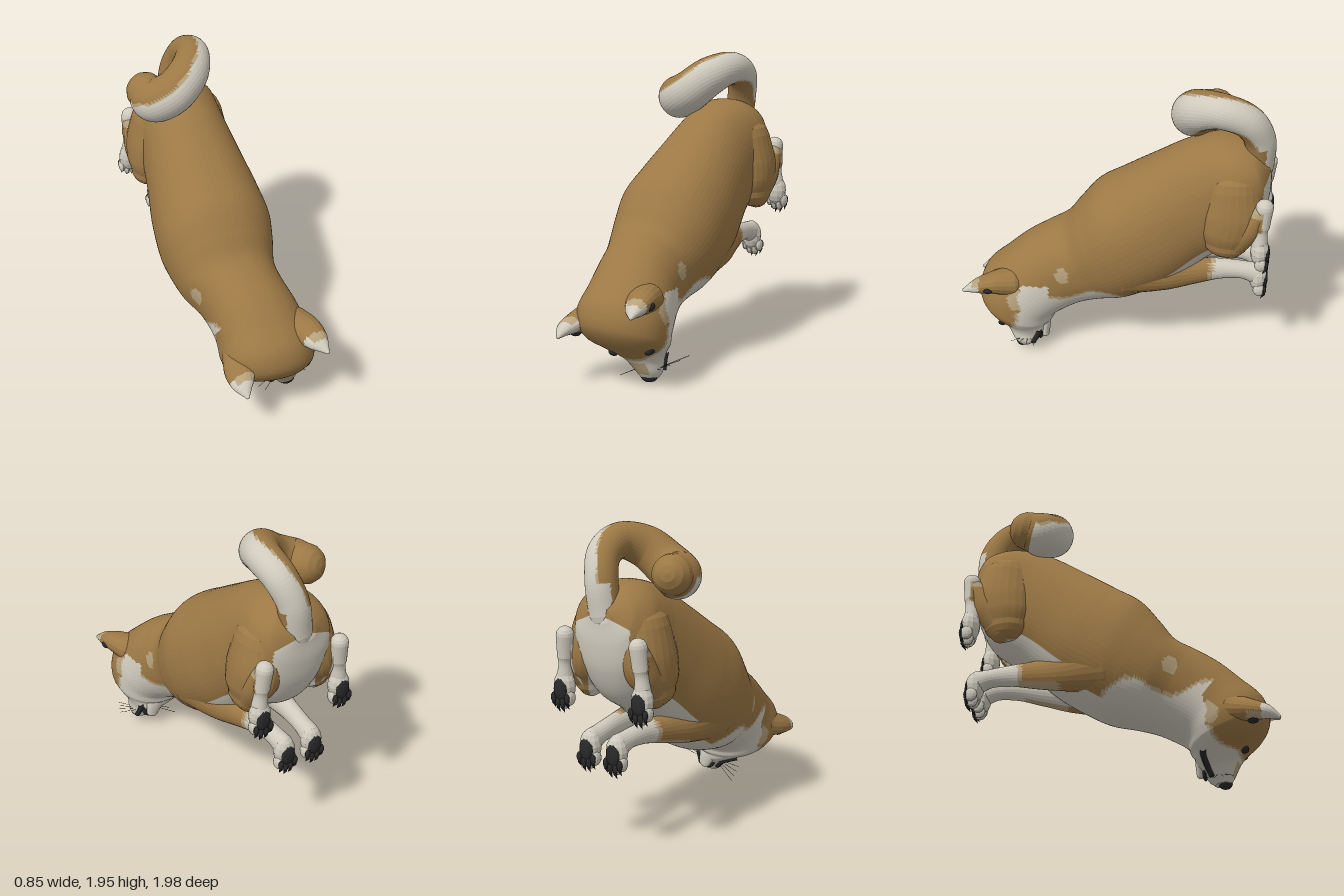
import * as THREE from 'three';

const V = (x, y, z) => new THREE.Vector3(x, y, z);
const mat = (name, color) => Object.assign(new THREE.MeshStandardMaterial({ color }), { name });
const clamp = THREE.MathUtils.clamp;
const soften = v => Math.sign(v) * Math.abs(v) ** 0.92; // slightly boxy section
const CX = -0.05; // middle of the trunk

export function createModel() {
  const dog = new THREE.Group();
  dog.name = 'dog';
  const tan = mat('tan fur', 0x9c7845), cream = mat('cream fur', 0xcfcabd);
  const pale = mat('pale tan fur', 0xb5a17d), black = mat('black', 0x29292a);
  const furs = [tan, cream, pale];

  // Skin a list of rings (arrays of points); pick(centroid, ring, side) gives the fur index.
  function skin(name, rings, pick) {
    const buckets = furs.map(() => []);
    const n = rings[0].length;
    let volume = 0;
    const tris = [];
    for (let i = 0; i < rings.length - 1; i++) for (let j = 0; j < n; j++) {
      const k = (j + 1) % n;
      const [a, b, c, d] = [rings[i][j], rings[i][k], rings[i + 1][k], rings[i + 1][j]];
      for (const t of [[a, b, c], [a, c, d]]) {
        volume += t[0].dot(t[1].clone().cross(t[2]));
        tris.push([t, pick(t[0].clone().add(t[1]).add(t[2]).divideScalar(3), i, j)]);
      }
    }
    for (const [t, f] of tris) {
      if (volume < 0) t.reverse();
      for (const p of t) buckets[f].push(p.x, p.y, p.z);
    }
    const g = new THREE.BufferGeometry();
    g.setAttribute('position', new THREE.Float32BufferAttribute(buckets.flat(), 3));
    let start = 0;
    buckets.forEach((b, f) => { g.addGroup(start, b.length / 3, f); start += b.length / 3; });
    g.computeVertexNormals();
    const m = new THREE.Mesh(g, furs);
    m.name = name;
    dog.add(m);
  }

  // Round-ended limb along points [x, y, z, radius, second radius]
  function limb(name, pts, pick, ref = V(1, 0, 0), steps = 30, sides = 24) {
    const path = new THREE.CatmullRomCurve3(pts.map(p => V(p[0], p[1], p[2])));
    const size = new THREE.CatmullRomCurve3(pts.map(p => V(p[3], p[4] ?? p[3], 0)));
    const stations = [];
    for (const a of [0, 0.4, 0.8, 1.2]) stations.push([0, Math.sin(a), -Math.cos(a)]);
    for (let i = 0; i <= steps; i++) stations.push([i / steps, 1, 0]);
    for (const a of [1.2, 0.8, 0.4, 0]) stations.push([1, Math.sin(a), Math.cos(a)]);
    const centres = [];
    const rings = stations.map(([u, s, off]) => {
      const t = path.getTangent(u), r = size.getPoint(u);
      const c = path.getPoint(u).addScaledVector(t, off * Math.min(r.x, r.y));
      centres.push(c);
      const side = ref.clone().addScaledVector(t, -ref.dot(t)).normalize();
      const other = t.clone().cross(side);
      return Array.from({ length: sides }, (_, j) => {
        const a = j / sides * Math.PI * 2;
        return c.clone().addScaledVector(side, Math.cos(a) * r.x * s).addScaledVector(other, Math.sin(a) * r.y * s);
      });
    });
    skin(name, rings, (p, i) => pick(p, p.clone().sub(centres[i]).normalize(), centres[i]));
  }

  function blob(name, material, pos, radii, parent = dog) {
    const g = new THREE.SphereGeometry(1, 12, 8).toNonIndexed();
    g.scale(...radii);
    g.computeVertexNormals();
    const m = new THREE.Mesh(g, material);
    m.name = name;
    m.position.set(...pos);
    parent.add(m);
    return m;
  }

  // Trunk, neck and head: back z, back y, belly z, belly y, half width, middle x
  const sections = [
    [-0.94, 1.52, -0.96, 1.42, 0.08, CX], [-0.84, 1.61, -0.96, 1.28, 0.21, CX],
    [-0.67, 1.64, -0.93, 1.12, 0.275, CX], [-0.45, 1.58, -0.83, 0.94, 0.285, CX],
    [-0.20, 1.43, -0.62, 0.80, 0.32, CX], [0.00, 1.30, -0.42, 0.62, 0.36, CX],
    [0.15, 1.20, -0.22, 0.49, 0.375, CX], [0.27, 1.05, -0.08, 0.42, 0.35, CX],
    [0.36, 0.93, 0.08, 0.38, 0.31, CX], [0.48, 0.87, 0.22, 0.345, 0.28, -0.02],
    [0.62, 0.79, 0.33, 0.30, 0.28, 0.01], [0.76, 0.67, 0.39, 0.27, 0.29, 0.03],
    [0.89, 0.54, 0.41, 0.25, 0.30, 0.035], [0.92, 0.41, 0.42, 0.22, 0.29, 0.045],
    [0.87, 0.31, 0.44, 0.20, 0.25, 0.06], [0.79, 0.24, 0.45, 0.17, 0.18, 0.10],
    [0.73, 0.18, 0.48, 0.13, 0.115, 0.15], [0.69, 0.11, 0.52, 0.08, 0.085, 0.18],
    [0.66, 0.06, 0.56, 0.05, 0.055, 0.19],
  ];
  const last = sections.length - 1;
  const back = new THREE.CatmullRomCurve3(sections.map(s => V(0, s[1], s[0])));
  const belly = new THREE.CatmullRomCurve3(sections.map(s => V(0, s[3], s[2])));
  const width = new THREE.CatmullRomCurve3(sections.map(s => V(s[4], s[5], 0)));
  const onBody = (k, a, scale = 1) => {
    const T = back.getPoint(k / last), B = belly.getPoint(k / last), w = width.getPoint(k / last);
    const c = T.clone().add(B).multiplyScalar(0.5).setX(w.y);
    return c.addScaledVector(T.sub(B), soften(Math.sin(a)) * 0.5 * scale)
      .add(V(soften(Math.cos(a)) * w.x * scale, 0, 0));
  };
  const N = 150, SIDES = 72, rings = [];
  for (let i = -1; i <= N + 1; i++)
    rings.push(Array.from({ length: SIDES }, (_, j) =>
      onBody(clamp(i / N, 0, 1) * last, j / SIDES * Math.PI * 2, i < 0 || i > N ? 0 : 1)));
  skin('body and head', rings, (p, i, j) => {
    const k = (i - 1) / N * last, up = Math.sin((j + 0.5) / SIDES * Math.PI * 2);
    if (Math.hypot(p.z - 0.33, (p.y - 0.67) * 0.8) < 0.045) return 2; // shoulder spot
    // the face mask sits lower on the far cheek because the head is turned
    const turn = Math.max(0, -p.x), y = p.y + turn * 0.45, z = p.z + turn * 0.3;
    if (k > 10.5) {
      const edge = 0.61 + clamp(0.34 - y, 0, 0.2) * 0.7 + 0.01 * Math.sin(y * 40);
      if (p.y < 0.17) return up > 0.8 && p.y > 0.09 ? 2 : 1;
      if (y < 0.59 && z < edge) return 1;
      const brow = Math.hypot((z - 0.63) / 0.06, (y - 0.49) / 0.075) < 1;
      return brow || (z < edge + 0.025 && y < 0.4) ? 2 : 0;
    }
    if (k < 3) return up < -0.3 && Math.abs(p.x - CX) < 0.2 ? 1 : 0;
    if (k < 5.2) return up < -0.62 ? 1 : 0;
    if (up < -0.8 || (p.z > 0.42 && y < 0.59)) return 1;
    const line = 0.525 + 0.045 * Math.cos(12.6 * (p.z - 0.08));
    return p.y < line ? 1 : p.y < line + 0.02 ? 2 : 0;
  });

  // Curled tail with a cream outer band
  const hub = V(-0.13, 1.74, -0.64);
  limb('tail', [
    [-0.04, 1.46, -0.87, 0.10], [-0.01, 1.66, -0.87, 0.098], [0.03, 1.80, -0.79, 0.103],
    [0.03, 1.855, -0.63, 0.11], [-0.05, 1.805, -0.49, 0.13], [-0.17, 1.71, -0.45, 0.14],
    [-0.28, 1.66, -0.49, 0.145], [-0.31, 1.68, -0.58, 0.125],
  ], (p, d, c) => {
    if (c.y < 1.62 && c.z < -0.8) return d.z < -0.3 && Math.abs(d.x) < 0.9 ? 1 : 0;
    const out = c.clone().sub(hub).normalize();
    const band = out.addScaledVector(V(0.5, -0.35, 0), clamp((c.z + 0.85) * 4, 0, 1)).normalize();
    const f = d.dot(band);
    return c.x < -0.3 || f < 0.36 ? 0 : f < 0.45 ? 2 : 1;
  }, V(0.5, -0.8, 0.4), 64, 36);

  // Paw with toes, claws and a black pad, soles facing -z
  function paw(name, x, y, z) {
    const g = new THREE.Group();
    g.name = name;
    g.position.set(x, y, z);
    dog.add(g);
    blob('foot', cream, [0, 0, 0], [0.07, 0.10, 0.06], g);
    blob('sole pad', black, [0, -0.015, -0.042], [0.05, 0.07, 0.022], g);
    [-0.052, -0.018, 0.018, 0.052].forEach((dx, i) => {
      const dy = i % 3 ? -0.095 : -0.07;
      blob('toe', cream, [dx, dy, -0.012], [0.023, 0.045, 0.04], g);
      blob('toe pad', black, [dx, dy, -0.045], [0.018, 0.032, 0.015], g);
      const claw = new THREE.Mesh(new THREE.ConeGeometry(0.011, 0.045, 6), black);
      claw.name = 'claw';
      claw.position.set(dx, dy - 0.05, -0.035);
      claw.rotation.x = Math.PI - 0.5;
      g.add(claw);
    });
  }

  for (const s of [1, -1]) {
    const side = s > 0 ? 'left' : 'right', X = d => CX + s * d;
    // Front leg
    limb(side + ' front leg', [
      [X(0.20), 0.72, -0.08, 0.15, 0.20], [X(0.19), 0.69, -0.30, 0.10, 0.125],
      [X(0.15), 0.70, -0.50, 0.075, 0.095], [X(0.12), 0.715, -0.68, 0.06, 0.07],
      [X(0.105), 0.71, -0.82, 0.057, 0.06], [X(0.10), 0.69, -0.91, 0.06, 0.075],
    ], (p, d) => {
      if (p.z < -0.64 || d.x * s < -0.5) return 1;
      return p.z < -0.61 || (d.y < -0.75 && p.z < -0.36) ? 2 : 0;
    });
    paw(side + ' front paw', X(0.10), 0.66, -0.925);

    // Hind thigh, shank and lower leg
    limb(side + ' thigh', [
      [X(0.16), 1.37, -0.73, 0.15, 0.18], [X(0.20), 1.20, -0.735, 0.15, 0.20],
      [X(0.225), 1.08, -0.715, 0.13, 0.175], [X(0.235), 1.01, -0.71, 0.10, 0.14],
    ], (p, d) => d.x * s < -0.4 ? 1 : 0);
    limb(side + ' shank', [
      [X(0.235), 0.98, -0.74, 0.08], [X(0.255), 1.11, -0.825, 0.085], [X(0.27), 1.27, -0.91, 0.055],
    ], (p, d) => d.x * s < -0.3 ? 1 : p.y > 1.26 ? 2 : 0);
    limb(side + ' lower hind leg', [
      [X(0.27), 1.315, -0.935, 0.055], [X(0.28), 1.18, -0.925, 0.05], [X(0.29), 1.05, -0.92, 0.05],
    ], (p, d) => p.y > 1.16 && p.y < 1.3 && p.z > -0.93 && d.x * s > -0.3 ? (p.y < 1.26 ? 0 : 2) : 1);
    paw(side + ' hind paw', X(0.29), 1.0, -0.925);

    // Ear, set on the turned head
    const e = s > 0
      ? [[0.20, 0.56, 0.68, 0.12, 0.10], [0.25, 0.57, 0.79, 0.10, 0.075], [0.28, 0.555, 0.89, 0.07, 0.05], [0.305, 0.53, 0.975, 0.015, 0.013]]
      : [[-0.16, 0.42, 0.70, 0.12, 0.10], [-0.205, 0.395, 0.80, 0.10, 0.07], [-0.225, 0.37, 0.90, 0.07, 0.047], [-0.225, 0.335, 0.975, 0.015, 0.013]];
    limb(side + ' ear', e, (p, d) => p.z > 0.87 ? (d.y > 0.5 && p.z < 0.92 ? 2 : 1) : p.z > 0.78 && d.y < -0.4 ? 2 : 0,
      V(1, 0.35, 0).normalize(), 24, 18);
    blob(side + ' ear opening', black, s > 0 ? [0.318, 0.565, 0.81] : [-0.21, 0.335, 0.82], [0.04, 0.03, 0.038]);

    // Slit eye and lip
    const eye = s > 0 ? onBody(14.3, 0.45, 0.99) : onBody(15.2, 2.1, 0.99);
    blob(side + ' eye', black, eye.toArray(), [0.032, 0.018, 0.028]).rotation.z = s * 0.4;
    const lip = [14.5, 15, 15.6, 16.2, 16.9].map((k, i) =>
      onBody(k, s > 0 ? -0.74 + i * 0.01 : Math.PI + 0.74 - i * 0.01));
    const mouth = new THREE.Mesh(new THREE.TubeGeometry(new THREE.CatmullRomCurve3(lip), 16, 0.019, 6), black);
    mouth.name = side + ' lip';
    dog.add(mouth);

    // Whiskers
    for (let i = 0; i < 4; i++) {
      const a = V(0.18 + s * 0.07, 0.11 + s * 0.01, 0.56 + i * 0.02);
      const b = V(s > 0 ? 0.41 - i * 0.03 : -0.04 + i * 0.02, s > 0 ? 0.20 - i * 0.02 : 0.02 + i * 0.013, 0.50 + i * 0.06);
      const w = new THREE.Mesh(new THREE.TubeGeometry(new THREE.LineCurve3(a, b), 1, 0.0015, 4), black);
      w.name = side + ' whisker';
      dog.add(w);
    }
  }

  // Nose, lower jaw and the open mouth between them
  blob('nose', black, [0.195, 0.062, 0.622], [0.055, 0.032, 0.045]);
  limb('lower jaw', [
    [0.11, 0.27, 0.50, 0.09, 0.06], [0.145, 0.19, 0.475, 0.065, 0.035], [0.17, 0.12, 0.47, 0.042, 0.025],
  ], () => 1);
  blob('mouth opening', black, [0.165, 0.15, 0.50], [0.07, 0.07, 0.022]);
  return dog;
}
